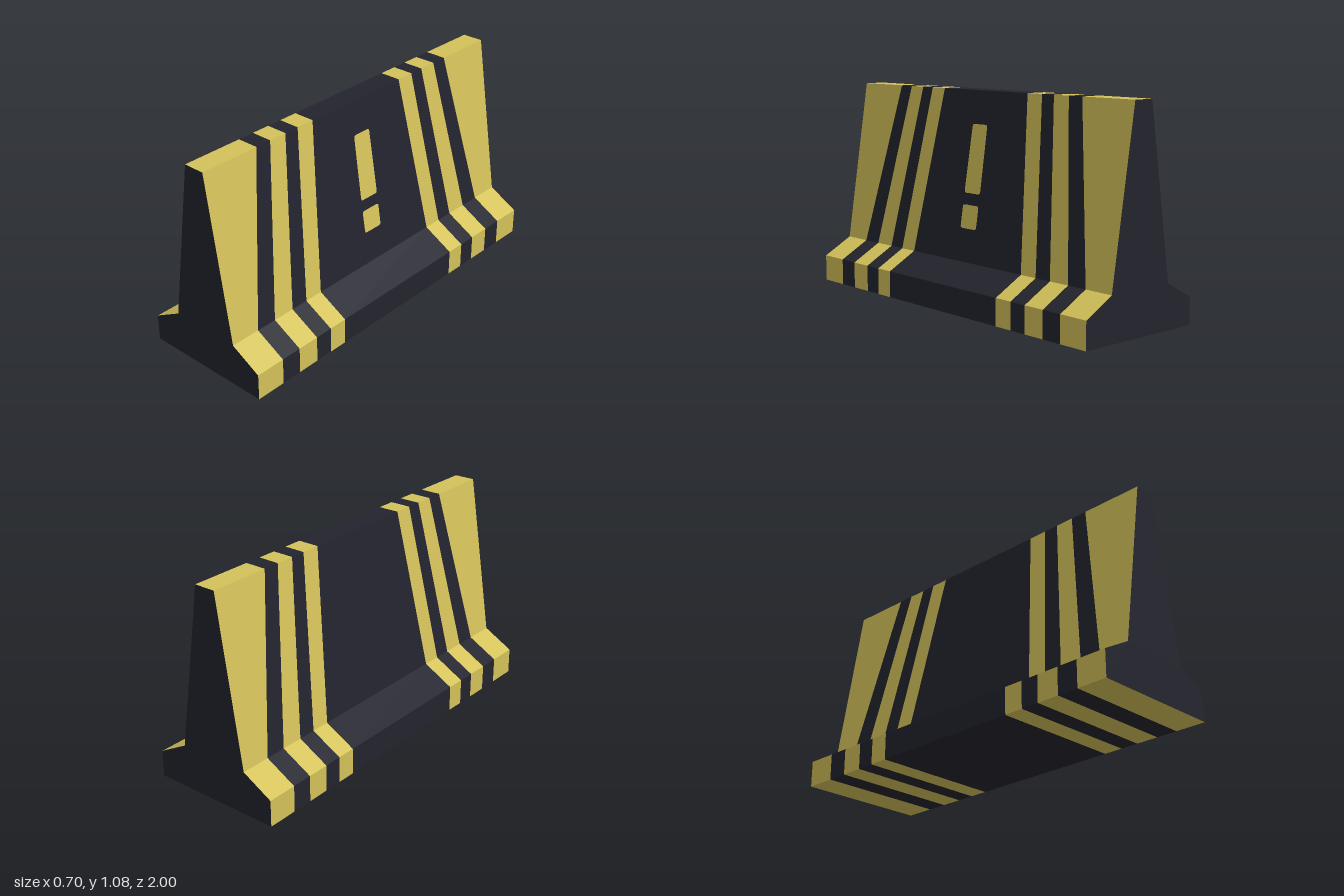
import * as THREE from 'three';

// Cross-section of the barrier, counter-clockwise seen from the front
const PROFILE = [
  [-0.35, 0], [0.35, 0], [0.35, 0.137], [0.19, 0.225],
  [0.056, 1.08], [-0.056, 1.08], [-0.19, 0.225], [-0.35, 0.137],
];
const TOP = 1.08;

// Stripe edges, measured from the middle: along the base and along the top
const BASE_EDGES = [0.412, 0.514, 0.61, 0.729, 0.84, 1];
const TOP_EDGES = [0.312, 0.412, 0.492, 0.59, 0.677, 1];

// Painted band wrapped around the profile; each edge is [z at base, z at top]
function bandGeometry(back, front) {
  const at = ([x, y], edge) => [x, y, y === TOP ? edge[1] : edge[0]];
  const pos = [];
  PROFILE.forEach((a, i) => {
    const b = PROFILE[(i + 1) % PROFILE.length];
    const a0 = at(a, back), a1 = at(a, front), b0 = at(b, back), b1 = at(b, front);
    pos.push(...a1, ...a0, ...b0, ...a1, ...b0, ...b1);
  });
  const geo = new THREE.BufferGeometry();
  geo.setAttribute('position', new THREE.Float32BufferAttribute(pos, 3));
  geo.computeVertexNormals();
  return geo;
}

// Rounded plate lying just above the sloping left face
function markGeometry(halfTop, halfBottom, y0, y1) {
  const r = 0.014;
  const s = new THREE.Shape();
  s.moveTo(-halfBottom + r, y0);
  s.lineTo(halfBottom - r, y0);
  s.quadraticCurveTo(halfBottom, y0, halfBottom, y0 + r);
  s.lineTo(halfTop, y1 - r);
  s.quadraticCurveTo(halfTop, y1, halfTop - r, y1);
  s.lineTo(-halfTop + r, y1);
  s.quadraticCurveTo(-halfTop, y1, -halfTop, y1 - r);
  s.lineTo(-halfBottom, y0 + r);
  s.quadraticCurveTo(-halfBottom, y0, -halfBottom + r, y0);
  const geo = new THREE.ShapeGeometry(s, 4);
  const p = geo.attributes.position;
  for (let i = 0; i < p.count; i++) {
    const y = p.getY(i);
    const x = THREE.MathUtils.mapLinear(y, 0.225, TOP, 0.19, 0.056) + 0.004;
    p.setXYZ(i, x, y, -p.getX(i));
  }
  geo.computeVertexNormals();
  return geo;
}

export function createModel() {
  const group = new THREE.Group();
  const yellow = new THREE.MeshStandardMaterial({ name: 'safety yellow', color: 0xd4c25a });
  const dark = new THREE.MeshStandardMaterial({ name: 'dark navy', color: 0x23232e });
  const add = (name, geo, mat) => {
    const mesh = new THREE.Mesh(geo, mat);
    mesh.name = name;
    group.add(mesh);
    return mesh;
  };

  // Middle section, then alternating stripes out to both ends
  const edge = (i, side) => [side * BASE_EDGES[i], side * TOP_EDGES[i]];
  add('middleSection', bandGeometry(edge(0, -1), edge(0, 1)), dark);
  for (let i = 0; i < BASE_EDGES.length - 1; i++) {
    const mat = i % 2 ? dark : yellow;
    add('frontStripe' + (i + 1), bandGeometry(edge(i, 1), edge(i + 1, 1)), mat);
    add('backStripe' + (i + 1), bandGeometry(edge(i + 1, -1), edge(i, -1)), mat);
  }

  // Flat end faces
  const endGeo = new THREE.ShapeGeometry(
    new THREE.Shape(PROFILE.map(([x, y]) => new THREE.Vector2(x, y))));
  add('frontEnd', endGeo, dark).position.z = 1;
  const backEnd = add('backEnd', endGeo, dark);
  backEnd.position.z = -1;
  backEnd.rotation.y = Math.PI;

  // Warning mark on the left face only
  add('warningBar', markGeometry(0.055, 0.059, 0.568, 0.912), yellow);
  add('warningDot', markGeometry(0.059, 0.059, 0.392, 0.51), yellow);

  return group;
}
